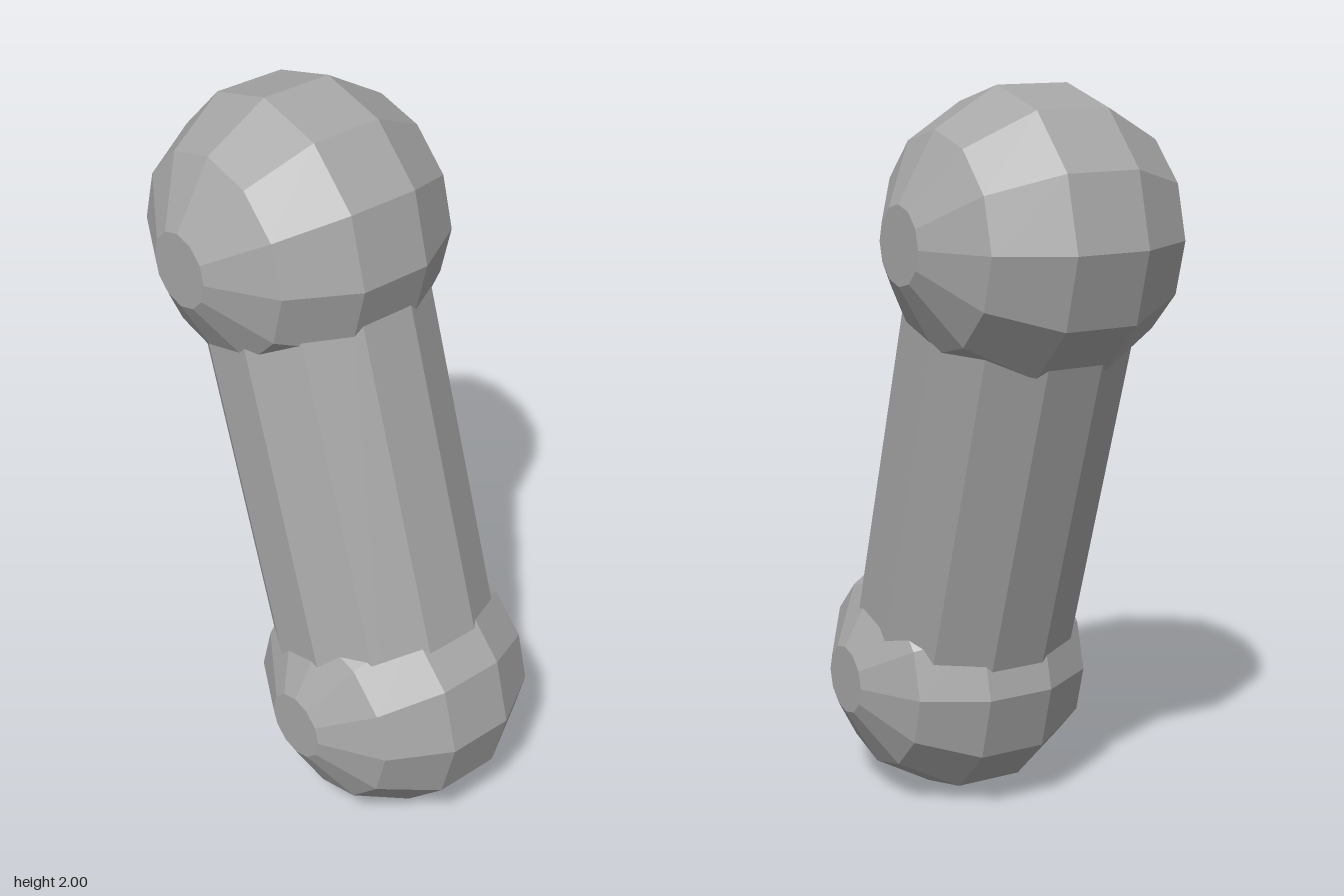
import * as THREE from 'three';

const SIDES = 12;

// Faceted ball with its poles along z, blunt caps and a wide flat belt
function makeBall(name, radius, centre, material) {
  const profile = [new THREE.Vector2(0, -radius)];
  const ring = radius / Math.cos(Math.PI / 12);
  for (let i = 0; i < 6; i++) {
    const a = -Math.PI / 2 + Math.PI / 12 + (i * Math.PI) / 6;
    profile.push(new THREE.Vector2(ring * Math.cos(a), ring * Math.sin(a)));
  }
  profile.push(new THREE.Vector2(0, radius));
  const geometry = new THREE.LatheGeometry(profile, SIDES).rotateX(Math.PI / 2);
  const ball = new THREE.Mesh(geometry, material);
  ball.name = name;
  ball.position.copy(centre);
  return ball;
}

export function createModel() {
  const group = new THREE.Group();
  group.name = 'jointedLimb';
  const grey = new THREE.MeshStandardMaterial({ color: 0xa6a6a6, flatShading: true });
  grey.name = 'plain grey';

  const top = new THREE.Vector3(-0.187, 1.617, 0);
  const bottom = new THREE.Vector3(0.213, 0.357, 0);

  // End joints
  group.add(makeBall('upperJoint', 0.383, top, grey));
  group.add(makeBall('lowerJoint', 0.357, bottom, grey));

  // Leaning shaft between the joint centres, flats facing front and sides
  const axis = top.clone().sub(bottom);
  const geometry = new THREE.CylinderGeometry(0.309, 0.309, axis.length(), SIDES);
  geometry.rotateY(Math.PI / SIDES);
  const shaft = new THREE.Mesh(geometry, grey);
  shaft.name = 'shaft';
  shaft.position.copy(top).add(bottom).multiplyScalar(0.5);
  shaft.rotation.z = Math.atan2(-axis.x, axis.y);
  group.add(shaft);

  return group;
}
